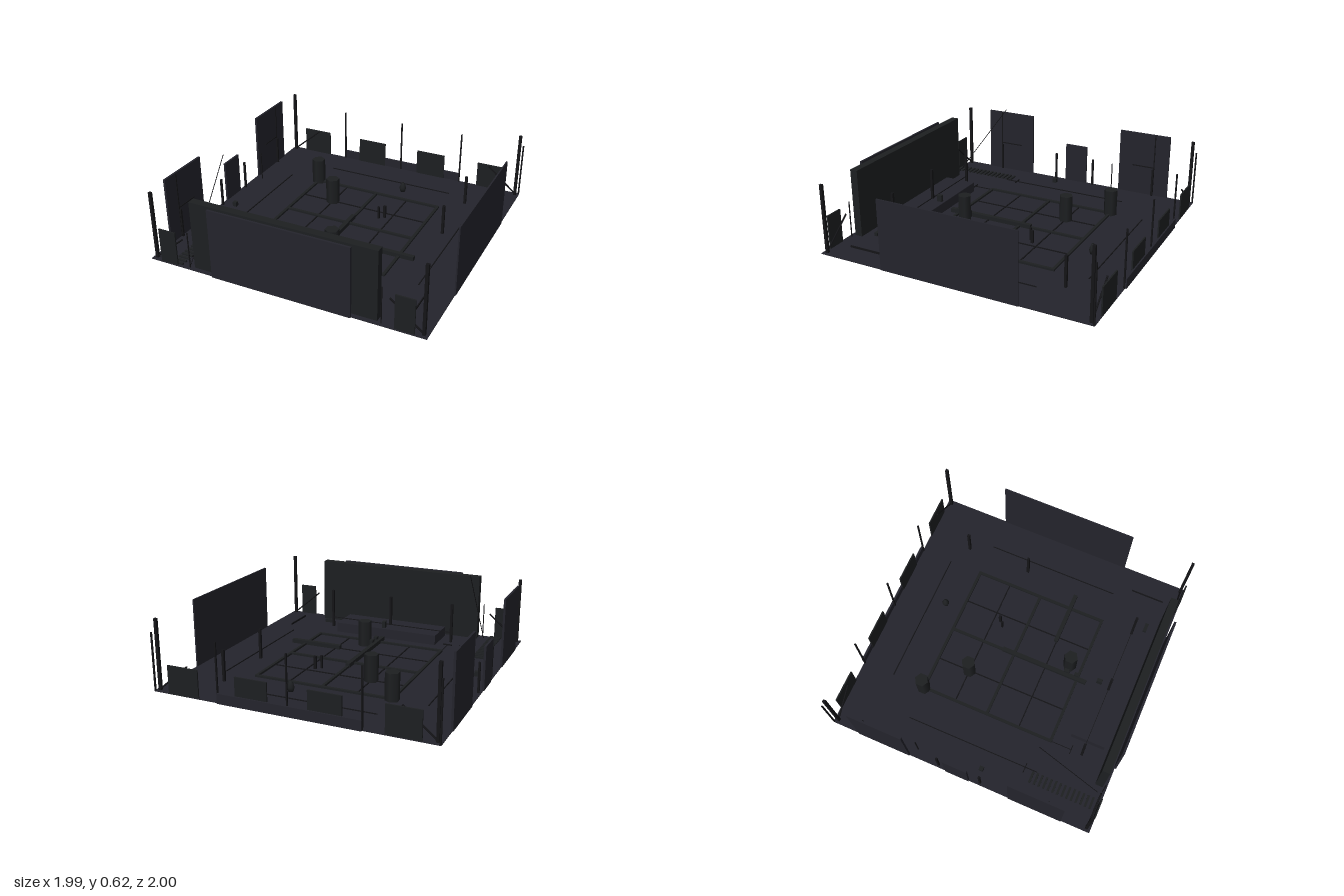
import * as THREE from 'three';

const stone = new THREE.MeshStandardMaterial({ color: 0x24242c });
const timber = new THREE.MeshStandardMaterial({ color: 0x1d1f21 });
const iron = new THREE.MeshStandardMaterial({ color: 0x141417 });
const Y0 = 0.006; // floor top

export function createModel() {
  const root = new THREE.Group();

  function add(name, geometry, material, x, y, z) {
    const mesh = new THREE.Mesh(geometry, material);
    mesh.name = name;
    mesh.position.set(x, y, z);
    root.add(mesh);
    return mesh;
  }
  // Box given by its x and z ranges, standing on y
  function block(name, x0, x1, z0, z1, h, material = stone, y = 0) {
    return add(name, new THREE.BoxGeometry(x1 - x0, h, z1 - z0), material,
      (x0 + x1) / 2, y + h / 2, (z0 + z1) / 2);
  }
  function post(name, x, z, h, w = 0.012, material = iron) {
    return block(name, x - w / 2, x + w / 2, z - w / 2, z + w / 2, h, material);
  }
  // Thin round bar between two points
  function bar(name, a, b, r) {
    const p = new THREE.Vector3(...a), q = new THREE.Vector3(...b);
    const dir = q.clone().sub(p);
    const mesh = add(name, new THREE.CylinderGeometry(r, r, dir.length(), 6), iron, 0, 0, 0);
    mesh.position.copy(p).add(q).multiplyScalar(0.5);
    mesh.quaternion.setFromUnitVectors(new THREE.Vector3(0, 1, 0), dir.normalize());
    return mesh;
  }

  // Ground slab
  block('ground', -0.99, 0.99, -0.99, 0.99, Y0);

  // Walls: tall double front, right side, low back
  block('frontWall', -0.5, 0.5, 0.985, 1, 0.5);
  block('frontInnerWall', -0.66, 0.66, 0.905, 0.96, 0.5, timber);
  block('rightWall', 0.985, 0.995, -0.5, 0.5, 0.5);
  block('backLowWall', -0.5, 0.5, -1, -0.985, 0.07);

  // Left side: two tall panels around a small one
  for (const s of [-1, 1]) {
    block('leftPanel', -0.995, -0.98, s * 0.58 - 0.2, s * 0.58 + 0.2, 0.5);
    block('leftPanelRail', -0.982, -0.976, s * 0.58 - 0.09, s * 0.58 + 0.09, 0.008, iron, 0.23);
    block('leftPanelSeam', -0.982, -0.976, s * 0.665 - 0.004, s * 0.665 + 0.004, 0.5, iron);
    for (const z of [0.16, 0.66]) post('leftSidePost', -0.972, s * z, 0.22, 0.014);
  }
  block('leftSmallPanel', -0.995, -0.98, -0.1, 0.08, 0.31);

  // Low panels on the front and back edges
  for (const s of [-1, 1])
    block('frontLowPanel', s * 0.845 - 0.065, s * 0.845 + 0.065, 0.975, 0.985, 0.25, timber);
  for (const x of [-0.76, -0.255, 0.255, 0.76])
    block('backLowPanel', x - 0.115, x + 0.115, -0.99, -0.98, 0.2, timber);
  for (const x of [-0.985, -0.5, 0, 0.5, 0.985]) post('backPost', x, -0.985, 0.41, 0.01);

  // Corner posts and slanting stays
  for (const sx of [-1, 1]) for (const sz of [-1, 1]) {
    post('cornerPost', sx * 0.962, sz * 0.96, 0.5, 0.02);
    bar('cornerStay', [sx * 0.97, Y0, sz * 0.962], [sx * 0.74, 0.2, sz * 0.962], 0.006);
  }

  // Floor frame of beams, with thinner joints between
  for (const t of [-0.5, 0, 0.5]) {
    block('frameBeam', -0.51, 0.51, t - 0.01, t + 0.01, 0.02, timber);
    block('frameBeam', t - 0.01, t + 0.01, -0.51, 0.51, 0.02, timber);
  }
  for (const t of [-0.25, 0.25]) {
    block('floorJoint', -0.5, 0.5, t - 0.004, t + 0.004, 0.012, iron);
    block('floorJoint', t - 0.004, t + 0.004, -0.5, 0.5, 0.012, iron);
  }
  for (const s of [-1, 1])
    block('floorEdge', s * 0.745 - 0.003, s * 0.745 + 0.003, -0.5, 0.5, 0.012, iron);
  block('floorEdge', -0.5, 0.5, -0.753, -0.747, 0.012, iron);
  block('floorEdge', -0.502, -0.498, 0.5, 0.66, 0.012, iron);
  block('floorEdge', 0.824, 0.83, 0.62, 0.87, 0.02, iron);

  // Loose beams lying on the floor
  block('longBeam', -0.015, 0.015, -0.09, 0.57, 0.03, timber, Y0);
  block('crossBeam', 0.21, 0.61, 0.23, 0.26, 0.03, timber, Y0);

  // Six-sided pillars
  for (const [x, z] of [[-0.5, -0.5], [-0.25, -0.25], [0.08, 0.41]])
    add('pillar', new THREE.CylinderGeometry(0.05, 0.05, 0.2, 6), timber, x, 0.1, z);

  // Platform with three posts and a rail
  block('platform', -0.41, 0.41, 0.62, 0.87, 0.08);
  for (const x of [-0.5, 0, 0.5]) post('platformPost', x, 0.74, 0.31, 0.018);
  block('platformRail', -0.5, 0.5, 0.738, 0.742, 0.006, iron, 0.08);

  // Row of slats with a slanting pole beside it
  for (let i = 0; i < 15; i++) {
    const z = 0.475 + i * 0.035;
    block('slat', -0.835, -0.75, z - 0.008, z + 0.008, 0.012, timber, Y0);
  }
  bar('slantingPole', [-0.705, Y0, 0.94], [-0.705, 0.62, 0.48], 0.0025);

  // Standing posts and thin stakes
  for (const z of [-0.66, -0.17]) post('yardPost', 0.66, z, 0.23, 0.018);
  post('yardStake', 0.2, -0.2, 0.1, 0.018);
  post('yardStake', 0.165, -0.17, 0.1, 0.014);
  for (const s of [-1, 1]) post('thinStake', s * 0.69, 0.97, 0.27, 0.006);
  post('thinStake', -0.93, -0.34, 0.23, 0.006);

  // Small boxes, rods and a round jar
  for (const z of [0.41, 0.49, 0.66])
    block('smallBox', 0.01, 0.035, z - 0.02, z + 0.02, 0.05, timber, z > 0.6 ? 0.08 : Y0);
  block('crate', 0.545, 0.61, 0.81, 0.835, 0.03, timber);
  block('crate', -0.895, -0.865, 0.115, 0.145, 0.04, timber);
  block('rod', -0.785, -0.715, 0.405, 0.411, 0.015, iron);
  block('rod', -0.535, -0.465, 0.655, 0.661, 0.015, iron);
  const jar = [[0, 0], [0.018, 0], [0.026, 0.03], [0.018, 0.055], [0.008, 0.075], [0, 0.075]]
    .map(([x, y]) => new THREE.Vector2(x, y));
  add('jar', new THREE.LatheGeometry(jar, 10), timber, 0.163, Y0, -0.635);

  return root;
}
